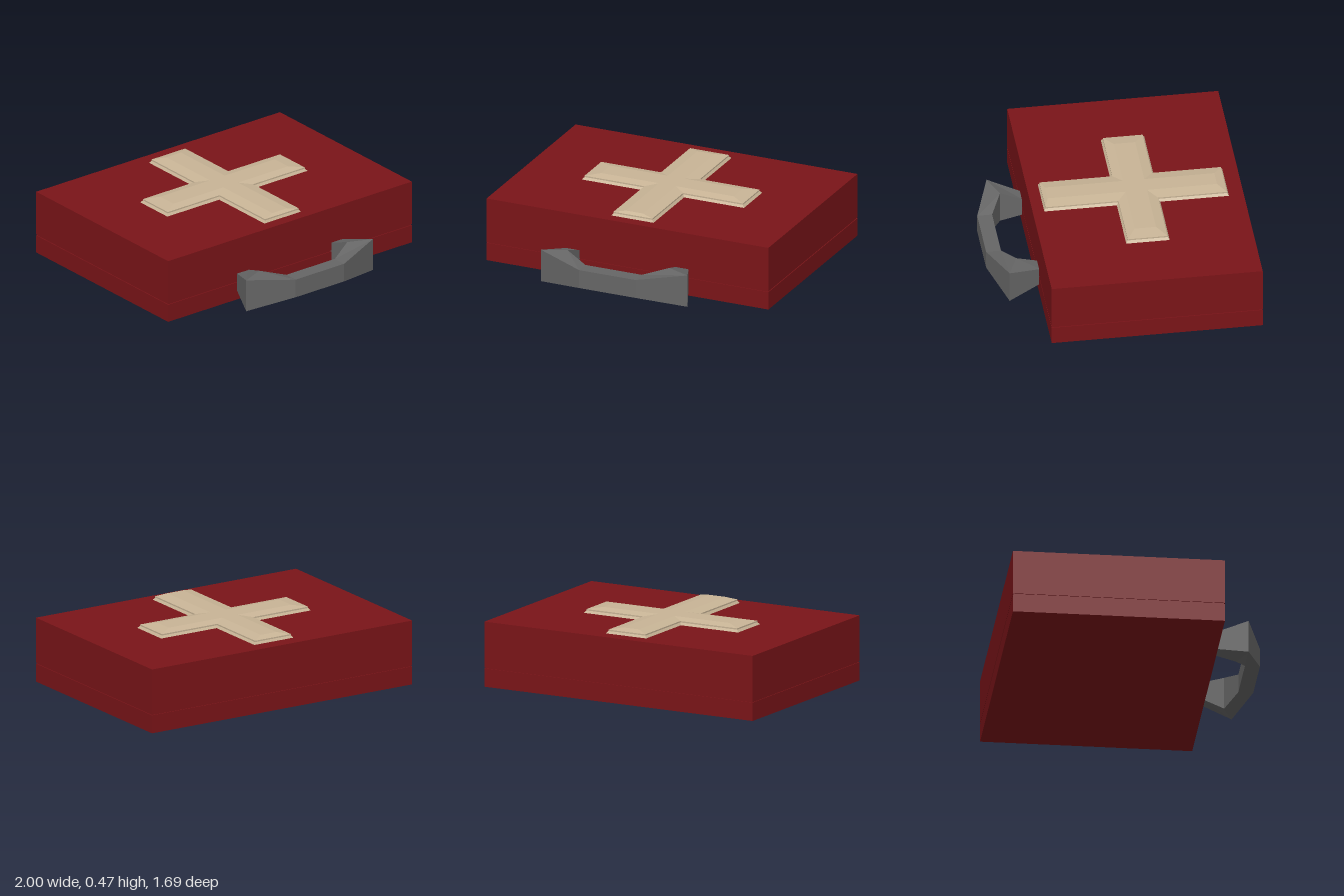
import * as THREE from 'three';

// Skin a list of rings (equal point counts), plus optional cap quads on the last ring
function loft(rings, capQuads = []) {
  const pos = [];
  const quad = (a, b, c, d) => pos.push(...a, ...b, ...c, ...a, ...c, ...d);
  for (let i = 0; i < rings.length - 1; i++) {
    const r = rings[i], s = rings[i + 1], n = r.length;
    for (let k = 0; k < n; k++) quad(r[k], r[(k + 1) % n], s[(k + 1) % n], s[k]);
  }
  const last = rings[rings.length - 1];
  for (const q of capQuads) quad(...q.map((k) => last[k]));
  const geo = new THREE.BufferGeometry();
  geo.setAttribute('position', new THREE.Float32BufferAttribute(pos, 3));
  geo.computeVertexNormals();
  return geo;
}

// Plus-shaped ring: arm half width a, half span X, front/back ends, crossbar front/back
function plusRing(y, a, X, front, back, barFront, barBack) {
  return [
    [-a, front], [a, front], [a, barFront], [X, barFront], [X, barBack], [a, barBack],
    [a, back], [-a, back], [-a, barBack], [-X, barBack], [-X, barFront], [-a, barFront],
  ].map(([x, z]) => [x, y, z]);
}

export function createModel() {
  const model = new THREE.Group();
  const red = new THREE.MeshStandardMaterial({ color: 0x7a1418 });
  const cream = new THREE.MeshStandardMaterial({ color: 0xc8b496, flatShading: true });
  const grey = new THREE.MeshStandardMaterial({ color: 0x666666, flatShading: true });

  const add = (name, geo, mat) => {
    const mesh = new THREE.Mesh(geo, mat);
    mesh.name = name;
    model.add(mesh);
    return mesh;
  };

  // Case: tray and lid with a fine seam groove between them
  const slab = (name, y0, y1, inset) =>
    add(name, new THREE.BoxGeometry(2 - 2 * inset, y1 - y0, 1.375 - 2 * inset), red)
      .position.set(0, (y0 + y1) / 2, -0.157);
  slab('tray', 0, 0.121, 0);
  slab('seam', 0.121, 0.128, 0.006);
  slab('lid', 0.128, 0.43, 0);

  // Raised cross emblem with a flared foot and bevelled top
  add('cross', loft([
    plusRing(0.43, 0.15, 0.575, 0.455, -0.747, -0.017, -0.3),
    plusRing(0.445, 0.138, 0.562, 0.446, -0.737, -0.029, -0.288),
    plusRing(0.454, 0.138, 0.562, 0.446, -0.737, -0.029, -0.288),
    plusRing(0.467, 0.06, 0.47, 0.422, -0.682, -0.087, -0.226),
  ], [[0, 1, 2, 11], [11, 2, 5, 8], [2, 3, 4, 5], [8, 5, 6, 7], [10, 11, 8, 9]]), cream);

  // Carry handle: rectangular sections, mirrored about x = 0
  const half = [ // outer x, outer z, inner x, inner z, bottom y, top y
    [0.43, 0.52, 0.338, 0.52, 0.065, 0.18],
    [0.52, 0.735, 0.36, 0.67, 0.013, 0.232],
    [0.2, 0.842, 0.2, 0.745, 0.06, 0.185],
  ];
  const section = (side) => ([ox, oz, ix, iz, y0, y1]) => [
    [side * ox, y1, oz], [side * ox, y0, oz], [side * ix, y0, iz], [side * ix, y1, iz],
  ];
  add('handle', loft([...half.map(section(-1)), ...[...half].reverse().map(section(1))]), grey);

  return model;
}
